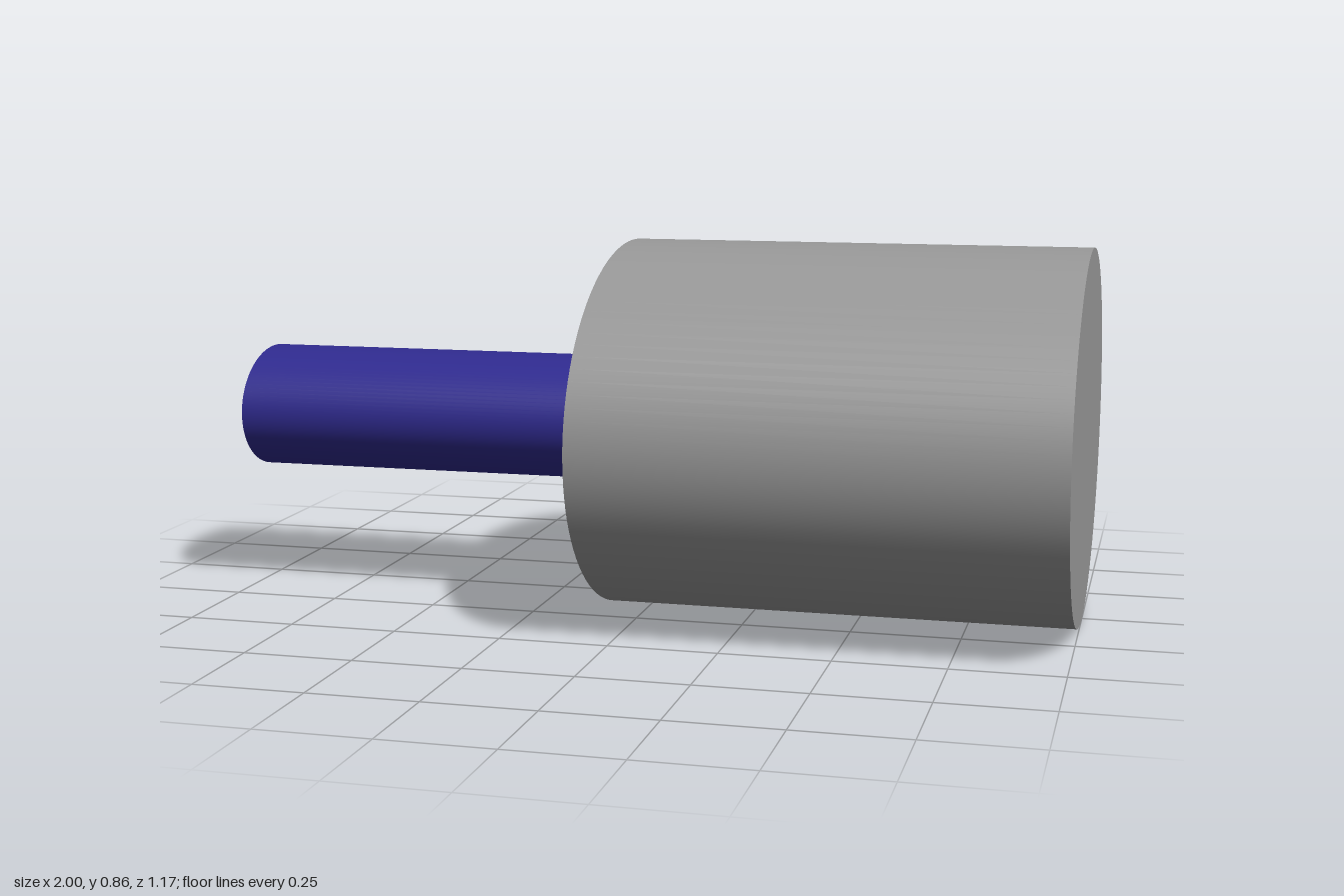
import * as THREE from 'three';

// Elliptical cylinder lying along x, from x0 to x1
function ellipticRod(name, x0, x1, ry, rz, color) {
  const geometry = new THREE.CylinderGeometry(1, 1, 1, 96);
  geometry.rotateZ(Math.PI / 2);
  geometry.scale(x1 - x0, ry, rz);
  const mesh = new THREE.Mesh(geometry, new THREE.MeshStandardMaterial({ color }));
  mesh.name = name;
  mesh.position.set((x0 + x1) / 2, 0.428, 0);
  return mesh;
}

export function createModel() {
  const group = new THREE.Group();
  group.name = 'bodyWithShaft';
  // Wide oval body on the left, slim oval shaft on the right
  group.add(ellipticRod('body', -0.073, 1, 0.428, 0.587, 0x999999));
  group.add(ellipticRod('shaft', -1, -0.073, 0.147, 0.202, 0x302b90));
  return group;
}
